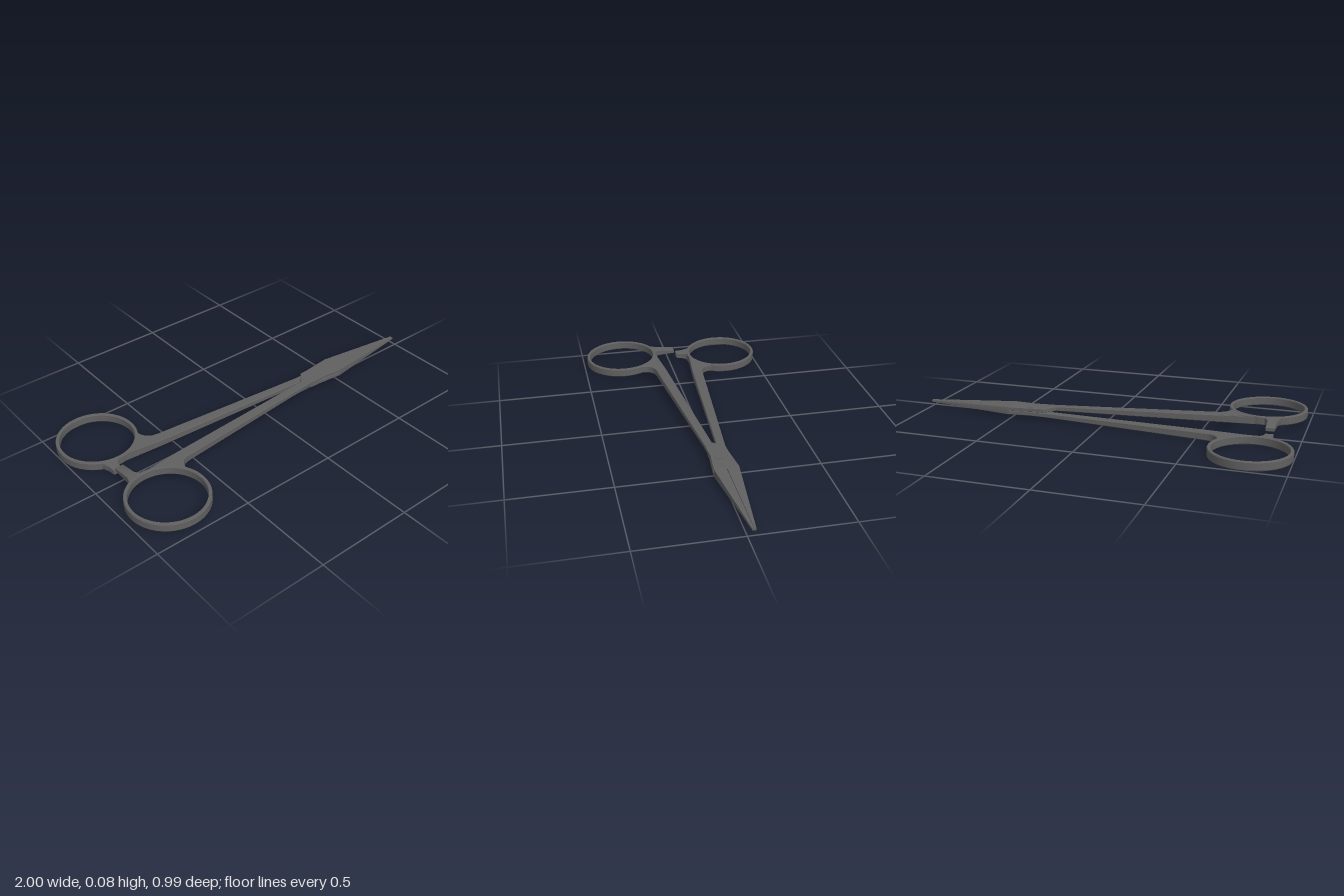
import * as THREE from 'three';
import { toCreasedNormals } from 'three/addons/utils/BufferGeometryUtils.js';

const RING = { x: -0.795, z: 0.295, outer: 0.2, inner: 0.182 };
const steel = new THREE.MeshStandardMaterial({ color: 0x606060 });
const lerp = THREE.MathUtils.lerp;

// Linear ramp from a at u0 to b at u1
const ramp = (u0, a, u1, b) => u => lerp(a, b, THREE.MathUtils.clamp((u - u0) / (u1 - u0), 0, 1));

// Outline of [x, z] points as a shape lying in the ground plane
const outline = pts => new THREE.Shape(pts.map(([x, z]) => new THREE.Vector2(x, -z)));

// Extrudes an outline between a bottom and a top height that vary over the plan
function slab(shape, low, high, bevel = 0.003) {
  const edge = 0.1;
  const g = new THREE.ExtrudeGeometry(shape, {
    depth: 1 - 2 * edge, bevelEnabled: true, bevelThickness: edge,
    bevelSize: bevel, bevelOffset: -bevel, bevelSegments: 1, curveSegments: 40,
  });
  g.rotateX(-Math.PI / 2);
  const p = g.attributes.position;
  for (let i = 0; i < p.count; i++) {
    const x = p.getX(i), z = p.getZ(i), t = p.getY(i) + edge;
    p.setY(i, lerp(low(x, z), high(x, z), t));
  }
  return g;
}

// Leans the symmetric halves slightly, as the closed tool rests on the ground
function settle(g) {
  const p = g.attributes.position;
  for (let i = 0; i < p.count; i++) {
    const x = p.getX(i), y = p.getY(i), z = p.getZ(i);
    p.setXYZ(i, x + 0.018 * z, y + 0.0368 - 0.0058 * x - 0.013 * z, z - 0.0185 - 0.012 * x);
  }
  return toCreasedNormals(g.index ? g.toNonIndexed() : g, 0.5);
}

// One half: finger ring, shank, lock plate, opposite jaw and ratchet arm
function halfParts(ratchetEnd) {
  const ring = new THREE.Shape().absarc(RING.x, -RING.z, RING.outer, 0, Math.PI * 2, false);
  ring.holes.push(new THREE.Path().absarc(RING.x, -RING.z, RING.inner, 0, Math.PI * 2, true));

  // Shank root hugs the ring, with a fillet on its outer edge
  const root = [];
  for (let i = 0; i <= 10; i++) {
    const a = THREE.MathUtils.degToRad(lerp(-95, -24, i / 10));
    root.push([RING.x + 0.19 * Math.cos(a), RING.z + 0.19 * Math.sin(a)]);
  }
  const shank = outline([
    ...root, [-0.617, 0.188], [-0.61, 0.168], [-0.595, 0.15], [-0.575, 0.138], [-0.55, 0.133],
    [0.29, 0.054], [0.29, 0.012], [-0.56, 0.077],
  ]);
  const plate = outline([
    [0.28, 0.054], [0.4, 0.049], [0.525, 0.0625], [0.525, -0.0625], [0.38, -0.047], [0.33, -0.045], [0.28, 0.012],
  ]);
  const jaw = outline([[0.52, -0.0625], [0.52, -0.0005], [1, -0.0005], [1, -0.009]]);
  const arm = outline([
    [-0.885, 0.125], [-0.87, 0.08], [-0.868, ratchetEnd], [-0.825, ratchetEnd], [-0.82, 0.07], [-0.795, 0.107],
  ]);

  const shankLow = ramp(-0.8, -0.002, 0.28, 0);
  const shankHigh = ramp(-0.8, 0.041, 0.28, 0.022);
  const jawHigh = ramp(0.52, 0.02, 1, 0.005);
  const armLow = ramp(-0.02, 0.004, 0.1, 0);
  const armHigh = ramp(-0.02, 0.024, 0.1, 0.039);
  return {
    FingerRing: slab(ring, () => -0.002, () => 0.041),
    Shank: slab(shank, shankLow, shankHigh),
    LockPlate: slab(plate, () => 0, ramp(0.28, 0.022, 0.525, 0.02)),
    Jaw: slab(jaw, x => -jawHigh(x), jawHigh, 0.001),
    RatchetArm: slab(arm, (x, z) => armLow(z), (x, z) => armHigh(z)),
  };
}

export function createModel() {
  const model = new THREE.Group();
  model.name = 'lockingForceps';
  const add = (parent, name, geometry) => {
    const mesh = new THREE.Mesh(settle(geometry), steel);
    mesh.name = name;
    parent.add(mesh);
  };

  // The lower half is the upper one turned over about the long axis
  for (const [side, ratchetEnd, turn] of [['upper', -0.022, 0], ['lower', 0.037, Math.PI]]) {
    const half = new THREE.Group();
    half.name = side + 'Half';
    for (const [part, geometry] of Object.entries(halfParts(ratchetEnd))) {
      add(half, side + part, geometry.rotateX(turn));
    }
    model.add(half);
  }

  // Pivot pin, nearly flush with the lock plates
  const pin = new THREE.CylinderGeometry(0.034, 0.034, 0.044, 24);
  add(model, 'pivotPin', pin.translate(0.41, 0, 0));
  return model;
}
